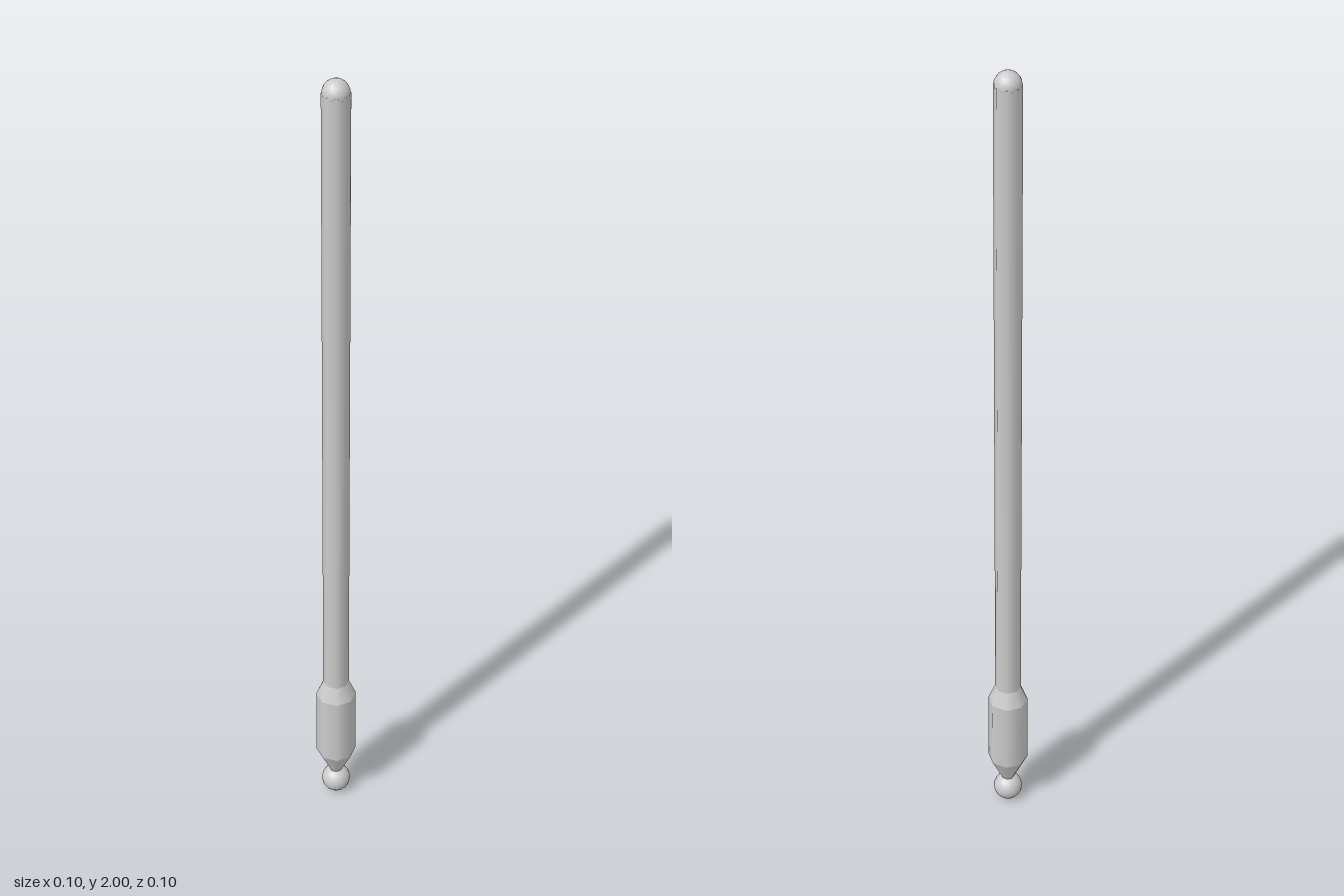
import * as THREE from 'three';

export function createModel() {
  const group = new THREE.Group();
  const material = new THREE.MeshStandardMaterial({ color: 0xcccccc });

  const add = (name, geometry, y) => {
    const mesh = new THREE.Mesh(geometry, material);
    mesh.name = name;
    mesh.position.y = y;
    group.add(mesh);
  };

  // Eight-sided section running from y0 to y1
  const section = (name, r0, r1, y0, y1) =>
    add(name, new THREE.CylinderGeometry(r1, r0, y1 - y0, 8), (y0 + y1) / 2);

  // Ball tip at the bottom
  add('ballTip', new THREE.SphereGeometry(0.035, 16, 12), 0.035);

  // Handle: lower taper, grip, upper taper
  section('lowerTaper', 0.014, 0.048, 0.064, 0.135);
  section('grip', 0.048, 0.048, 0.135, 0.32);
  section('upperTaper', 0.048, 0.031, 0.32, 0.36);

  // Long shaft with a rounded end
  section('shaft', 0.031, 0.031, 0.36, 1.97);
  add('roundedEnd', new THREE.SphereGeometry(0.03, 16, 12), 1.97);

  return group;
}
